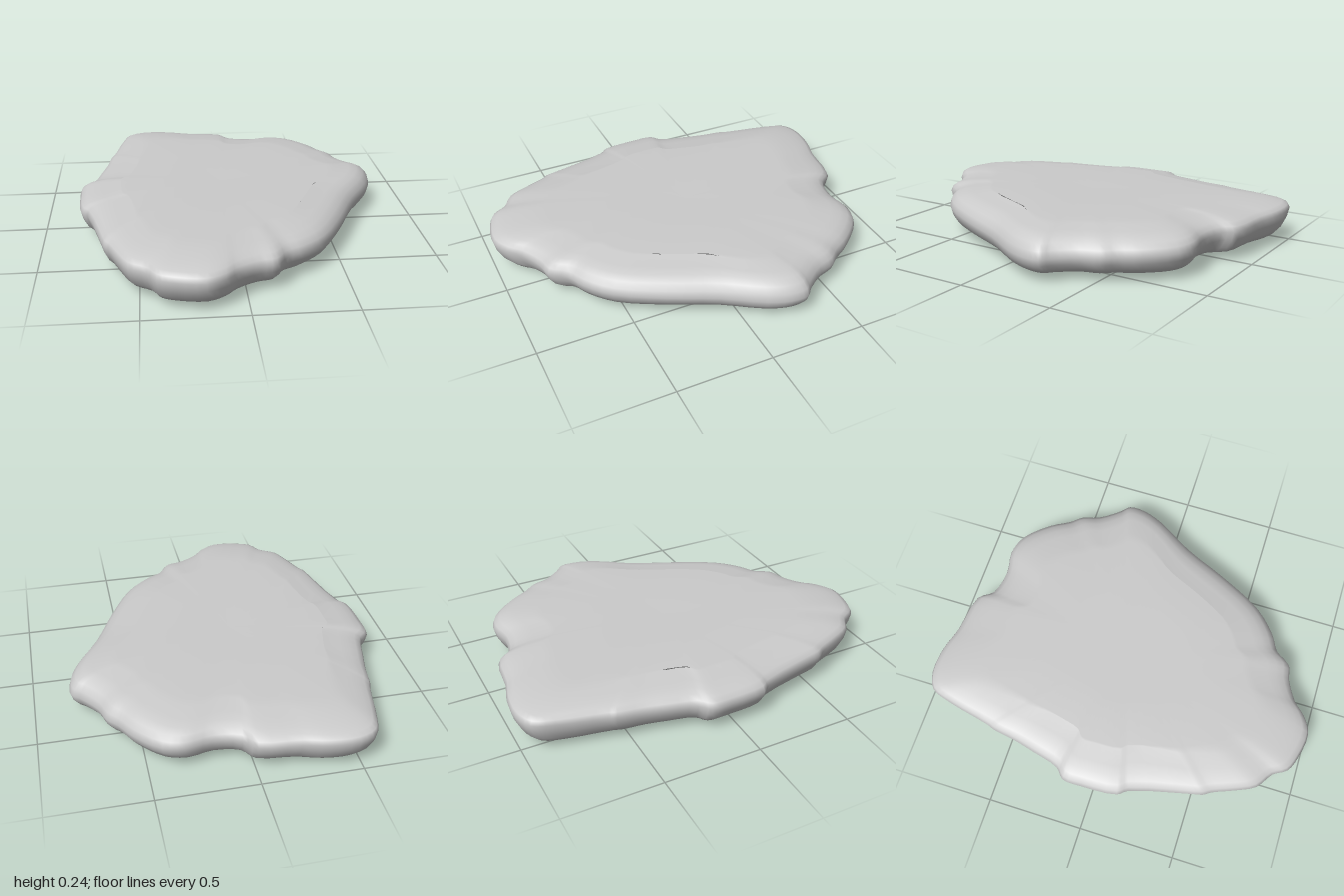
import * as THREE from 'three';

// Plan outline of the slab as [x, z], counter-clockwise seen from above
const OUTLINE = [
  [0.81, -0.21], [0.81, -0.30], [0.77, -0.34], [0.69, -0.45], [0.66, -0.54], [0.61, -0.60],
  [0.55, -0.70], [0.43, -0.82], [0.33, -0.85], [0.20, -0.83], [0.06, -0.86], [0, -0.93],
  [-0.20, -0.96], [-0.33, -0.995], [-0.47, -1], [-0.56, -0.96], [-0.60, -0.86], [-0.655, -0.62],
  [-0.67, -0.58], [-0.69, -0.46], [-0.72, -0.34], [-0.76, -0.20], [-0.81, -0.15], [-0.815, -0.05],
  [-0.80, 0.14], [-0.765, 0.19], [-0.68, 0.52], [-0.67, 0.56], [-0.645, 0.60], [-0.60, 0.71],
  [-0.55, 0.81], [-0.465, 0.87], [-0.42, 0.94], [-0.34, 0.975], [-0.20, 0.995], [-0.11, 0.95],
  [-0.05, 0.89], [0.06, 0.83], [0.14, 0.81], [0.20, 0.73], [0.29, 0.68], [0.41, 0.57],
  [0.54, 0.34], [0.65, 0.10], [0.77, -0.10],
];

// Rim section from top centre to bottom centre: [scale, inset, height, follow rim tilt]
const SECTION = [
  [0, 0, 0.238, 0], [0.4, 0, 0.239, 0], [0.7, 0, 0.238, 0], [1, 0.22, 0.231, 0],
  [1, 0.13, 0.222, 0], [1, 0.08, 0.211, 0], [1, 0.04, 0.195, 0.3], [1, 0.012, 0.17, 0.7],
  [1, 0, 0.138, 1], [1, 0.01, 0.10, 0.8], [1, 0.035, 0.062, 0.4], [1, 0.065, 0.04, 0.1],
  [1, 0.13, 0.025, 0], [1, 0.24, 0.015, 0], [0.65, 0, 0.006, 0], [0.35, 0, 0.002, 0], [0, 0, 0, 0],
];

const CENTRE = new THREE.Vector3(-0.06, 0, -0.03);

function slabGeometry() {
  const curve = new THREE.CatmullRomCurve3(
    OUTLINE.map(([x, z]) => new THREE.Vector3(x, 0, z)), true, 'centripetal');
  const n = OUTLINE.length * 3;
  const positions = [], index = [];

  SECTION.forEach(([scale, inset, height, tilt], r) => {
    for (let i = 0; i < n; i++) {
      const rim = curve.getPoint(i / n);
      // The widest line of the rim rises toward both ends and drops on the left
      const lift = tilt * (0.022 * rim.z * rim.z - 0.022 * rim.x);
      const arm = rim.clone().sub(CENTRE);
      arm.setLength((arm.length() - inset) * scale).add(CENTRE);
      positions.push(arm.x, height + lift, arm.z);
      if (r === SECTION.length - 1) continue;
      const j = (i + 1) % n;
      const a = r * n + i, b = a + n, c = (r + 1) * n + j, d = r * n + j;
      // Skip the collapsed triangles at both centres
      if (r < SECTION.length - 2) index.push(a, b, c);
      else index.push(a, b, d);
      if (r > 0 && r < SECTION.length - 2) index.push(a, c, d);
    }
  });

  const geometry = new THREE.BufferGeometry();
  geometry.setAttribute('position', new THREE.Float32BufferAttribute(positions, 3));
  geometry.setIndex(index);
  geometry.computeVertexNormals();
  return geometry;
}

export function createModel() {
  const group = new THREE.Group();
  group.name = 'flatStone';
  const slab = new THREE.Mesh(slabGeometry(), new THREE.MeshStandardMaterial({ color: 0xcccccc }));
  slab.name = 'stoneSlab';
  group.add(slab);
  return group;
}
